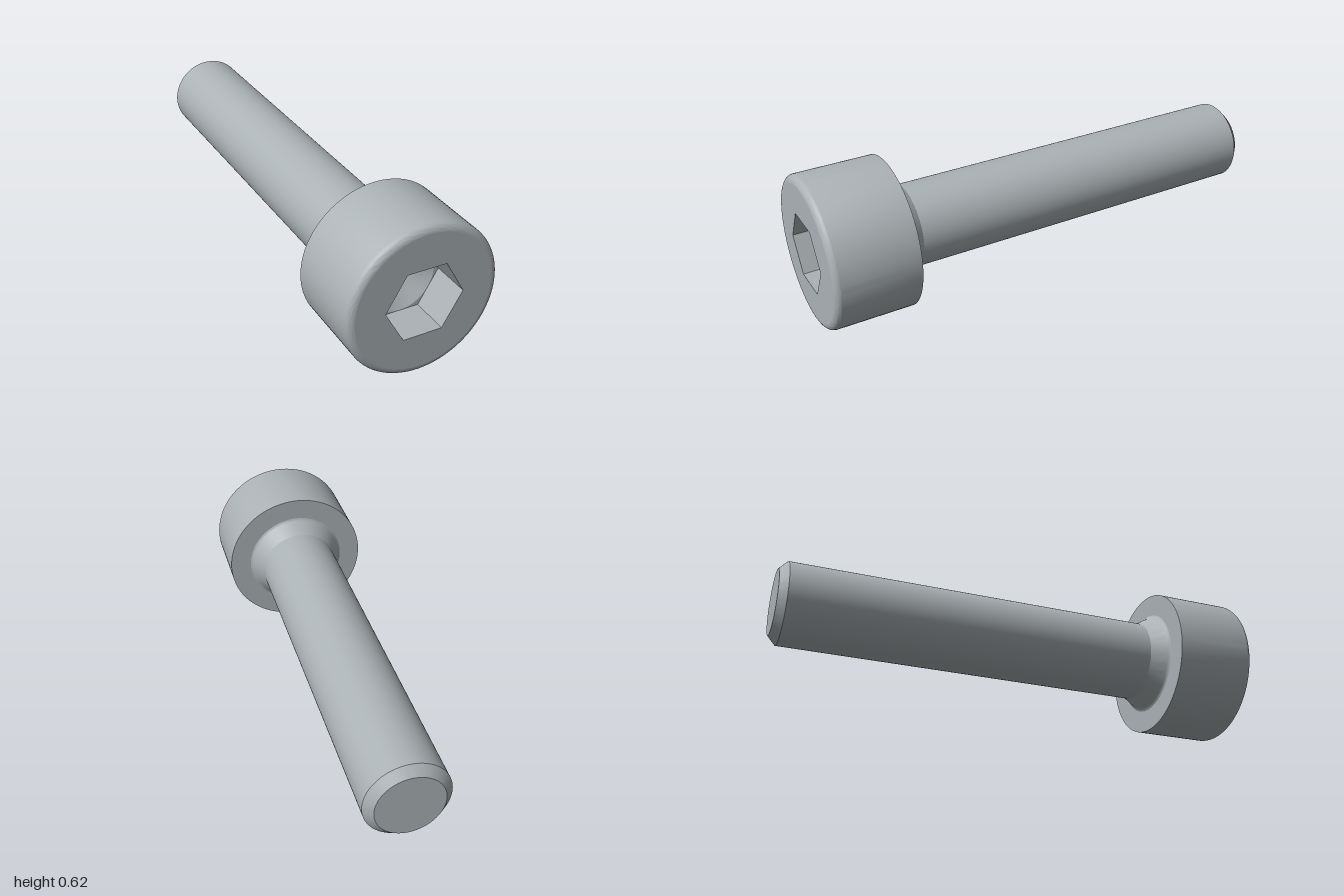
import * as THREE from 'three';
import { toCreasedNormals } from 'three/addons/utils/BufferGeometryUtils.js';

const SEGMENTS = 96;
const HEAD_R = 0.31, SHAFT_R = 0.169, CHAMFER = 0.034, ROUND = 0.03;
const HEAD_BACK = 0.655, FRONT = 1, BACK = -1;
const HEX_FLAT = 0.138, HEX_R = HEX_FLAT / Math.cos(Math.PI / 6);
const FLOOR = FRONT - 0.155, TIP = FLOOR - 0.08;

// Surface of revolution around the z axis; profile points are [radius, z]
function turned(profile, segments = SEGMENTS, start = 0) {
  const points = profile.map(([r, z]) => new THREE.Vector2(r, z));
  const lathe = new THREE.LatheGeometry(points, segments, start);
  return toCreasedNormals(lathe.rotateX(Math.PI / 2), 0.5);
}

// Regular polygon outline with a corner on +x
function polygon(radius, sides) {
  return Array.from({ length: sides }, (_, i) => {
    const a = (i / sides) * Math.PI * 2;
    return new THREE.Vector2(Math.cos(a) * radius, Math.sin(a) * radius);
  });
}

// Flat plate facing +z with a hole in it
function ring(outer, inner, z) {
  const shape = new THREE.Shape(outer);
  shape.holes.push(new THREE.Path(inner));
  return new THREE.ShapeGeometry(shape).translate(0, 0, z);
}

export function createModel() {
  const steel = new THREE.MeshStandardMaterial({ color: 0xabb2b5 });
  steel.name = 'steel grey';
  const bolt = new THREE.Group();
  bolt.name = 'socketHeadBolt';
  bolt.position.y = HEAD_R;

  const add = (name, geometry) => {
    const mesh = new THREE.Mesh(geometry, steel);
    mesh.name = name;
    bolt.add(mesh);
  };

  // Shaft with a chamfered end
  add('shaft', turned([
    [0, BACK], [SHAFT_R - CHAMFER, BACK], [SHAFT_R, BACK + CHAMFER], [SHAFT_R, 0.585],
  ]));

  // Flared neck under the head
  add('neck', turned([
    [SHAFT_R, 0.585], [0.203, 0.642], [0.207, 0.648], [0.213, 0.653], [0.218, HEAD_BACK],
  ]));

  // Head side with a sharp back edge and a rounded front edge
  const head = [[0.218, HEAD_BACK], [HEAD_R, HEAD_BACK]];
  for (let i = 0; i <= 8; i++) {
    const a = (i / 8) * Math.PI / 2;
    head.push([HEAD_R - ROUND + ROUND * Math.cos(a), FRONT - ROUND + ROUND * Math.sin(a)]);
  }
  add('head', turned(head));
  add('headFace', ring(polygon(HEAD_R - ROUND, SEGMENTS), polygon(HEX_R, 6), FRONT));

  // Hexagonal socket with a conical drilled bottom
  add('socketWalls', turned([[HEX_R, FRONT], [HEX_R, FLOOR]], 6, Math.PI / 2));
  add('socketFloor', ring(polygon(HEX_R, 6), polygon(HEX_FLAT - 0.0005, SEGMENTS), FLOOR));
  add('socketCone', turned([[HEX_FLAT - 0.0005, FLOOR], [0, TIP]]));

  const model = new THREE.Group();
  model.name = 'bolt';
  model.add(bolt);
  return model;
}
